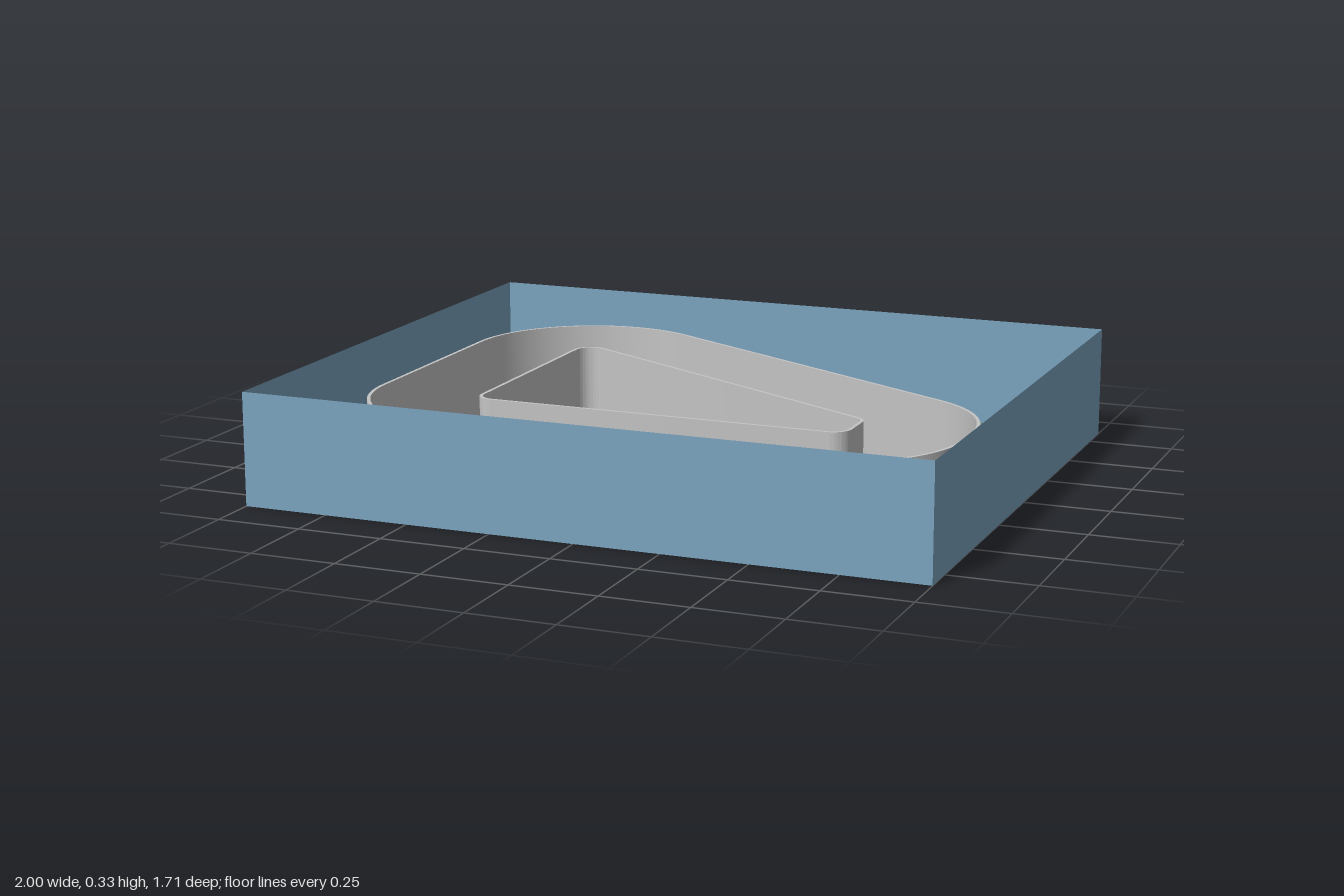
import * as THREE from 'three';
import { mergeGeometries, toCreasedNormals } from 'three/addons/utils/BufferGeometryUtils.js';

const mat = (name, color, side = THREE.FrontSide) => {
  const m = new THREE.MeshStandardMaterial({ color, side });
  m.name = name;
  return m;
};

// Corner centres of the circuit in shape space (x, -z), counter-clockwise
const CORNERS = [[-0.478, 0.335], [-0.478, -0.31], [0.54, -0.31], [0.54, -0.22]];

// Rounded four-corner loop, offset outwards by radius r
function addLoop(path, r) {
  const n = CORNERS.length;
  const outward = (a, b) => Math.atan2(-(b[0] - a[0]), b[1] - a[1]);
  CORNERS.forEach((c, i) => {
    const start = outward(CORNERS[(i + n - 1) % n], c);
    let end = outward(c, CORNERS[(i + 1) % n]);
    while (end < start) end += Math.PI * 2;
    path.absarc(c[0], c[1], r, start, end, false);
  });
  path.closePath();
  return path;
}

// Solid ring between two offsets, standing on the ground
function ring(outer, inner, height) {
  const shape = addLoop(new THREE.Shape(), outer);
  shape.holes.push(addLoop(new THREE.Path(), inner));
  const g = new THREE.ExtrudeGeometry(shape, { depth: height, bevelEnabled: false, curveSegments: 24 });
  g.rotateX(-Math.PI / 2);
  return toCreasedNormals(g, 0.6);
}

export function createModel() {
  const group = new THREE.Group();
  const grass = mat('grass green', 0x61856a, THREE.DoubleSide);
  const blue = mat('wall blue', 0x7aa4c0, THREE.DoubleSide);
  const grey = mat('barrier grey', 0xc4c4c4);
  const white = mat('line white', 0xd2d2d2);
  const orange = mat('dash orange', 0xb87414);
  const add = (name, geometry, material, x = 0, y = 0, z = 0) => {
    const m = new THREE.Mesh(geometry, material);
    m.name = name;
    m.position.set(x, y, z);
    group.add(m);
    return m;
  };

  // Ground
  const W = 2, D = 1.706, H = 0.328;
  add('ground', new THREE.PlaneGeometry(W, D).rotateX(-Math.PI / 2), grass);

  // Four thin surrounding walls
  for (const s of [-1, 1]) {
    add(s > 0 ? 'frontWall' : 'backWall', new THREE.PlaneGeometry(W, H), blue, 0, H / 2, s * D / 2);
    add(s > 0 ? 'leftWall' : 'rightWall', new THREE.PlaneGeometry(D, H).rotateY(Math.PI / 2), blue, s * W / 2, H / 2, 0);
  }

  // Track barriers
  add('outerBarrier', ring(0.377, 0.367, 0.245), grey);
  add('innerBarrier', ring(0.055, 0.045, 0.245), grey);

  // Painted edge lines
  add('outerLine', ring(0.337, 0.313, 0.004), white);
  add('innerLine', ring(0.115, 0.091, 0.004), white);

  // Dashed centre line
  const centre = addLoop(new THREE.Path(), 0.214);
  const count = 190;
  const pts = centre.getSpacedPoints(count * 2);
  const dashes = [];
  for (let i = 0; i < count; i++) {
    const a = pts[2 * i], b = pts[2 * i + 1];
    const d = new THREE.BoxGeometry(a.distanceTo(b) * 1.15, 0.005, 0.007);
    d.rotateY(Math.atan2(b.y - a.y, b.x - a.x));
    d.translate((a.x + b.x) / 2, 0.0025, -(a.y + b.y) / 2);
    dashes.push(d);
  }
  add('centreDashes', mergeGeometries(dashes), orange);

  // Start line: solid outer half, toothed inner half
  add('startLine', new THREE.BoxGeometry(0.11, 0.004, 0.033), white, -0.74, 0.002, -0.113);
  const teeth = [new THREE.BoxGeometry(0.112, 0.004, 0.024)];
  for (let i = 0; i < 6; i++) {
    teeth.push(new THREE.BoxGeometry(0.01, 0.004, 0.034).translate(-0.048 + i * 0.019, 0, 0));
  }
  add('startLineTeeth', mergeGeometries(teeth), white, -0.625, 0.002, -0.113);

  return group;
}
